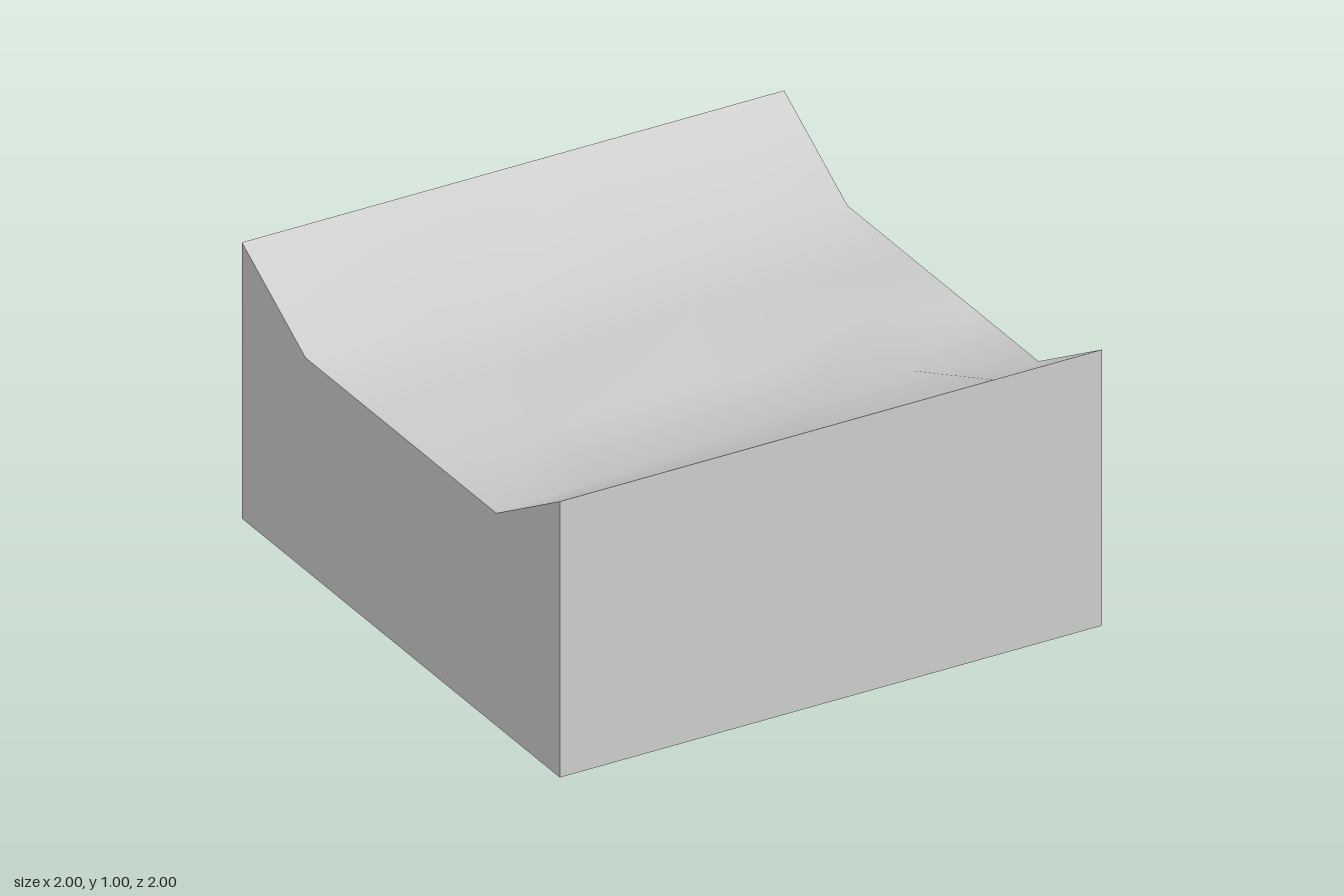
import * as THREE from 'three';

const BED = 0.77;

// Interior terrain points, [z, y] for x = -0.6, -0.2, 0.2, 0.6, rows running back to front
const ROWS = [
  [[-0.53, 0.79], [-0.57, 0.77], [-0.58, 0.77], [-0.62, 0.78]],
  [[-0.2, 0.77], [-0.2, 0.775], [-0.2, 0.815], [-0.2, 0.77]],
  [[0.2, 0.775], [0.2, 0.78], [0.2, 0.775], [0.2, 0.865]],
  [[0.58, 0.775], [0.55, 0.775], [0.5, 0.78], [0.48, 0.79]],
];

export function createModel() {
  const group = new THREE.Group();
  const material = new THREE.MeshStandardMaterial({ color: 0xcccccc });
  const add = (name, geometry) => {
    const mesh = new THREE.Mesh(geometry, material);
    mesh.name = name;
    group.add(mesh);
    return mesh;
  };

  // Smooth river bed: a 5 x 5 grid with high banks at front and back
  const bed = new THREE.PlaneGeometry(2, 2, 5, 5).rotateX(-Math.PI / 2);
  const pos = bed.attributes.position;
  for (let row = 0; row < 6; row++) {
    for (let col = 0; col < 6; col++) {
      const i = row * 6 + col;
      const bank = row === 0 || row === 5;
      const side = col === 0 || col === 5;
      if (bank) pos.setY(i, 1);
      else if (side) pos.setY(i, BED);
      else {
        const [z, y] = ROWS[row - 1][col - 1];
        pos.setZ(i, z);
        pos.setY(i, y);
      }
    }
  }
  bed.computeVertexNormals();
  add('riverBed', bed);

  // Side walls cut to the channel profile
  const profile = new THREE.Shape(
    [[-1, 0], [1, 0], [1, 1], [0.6, BED], [-0.6, BED], [-1, 1]].map(([x, y]) => new THREE.Vector2(x, y))
  );
  for (const s of [1, -1]) {
    const wall = add(s > 0 ? 'leftWall' : 'rightWall', new THREE.ShapeGeometry(profile));
    wall.rotation.y = (s * Math.PI) / 2;
    wall.position.x = s;
  }

  // Front and back walls
  for (const s of [1, -1]) {
    const wall = add(s > 0 ? 'frontWall' : 'backWall', new THREE.PlaneGeometry(2, 1));
    wall.rotation.y = s > 0 ? 0 : Math.PI;
    wall.position.set(0, 0.5, s);
  }

  // Underside
  add('base', new THREE.PlaneGeometry(2, 2).rotateX(Math.PI / 2));
  return group;
}
